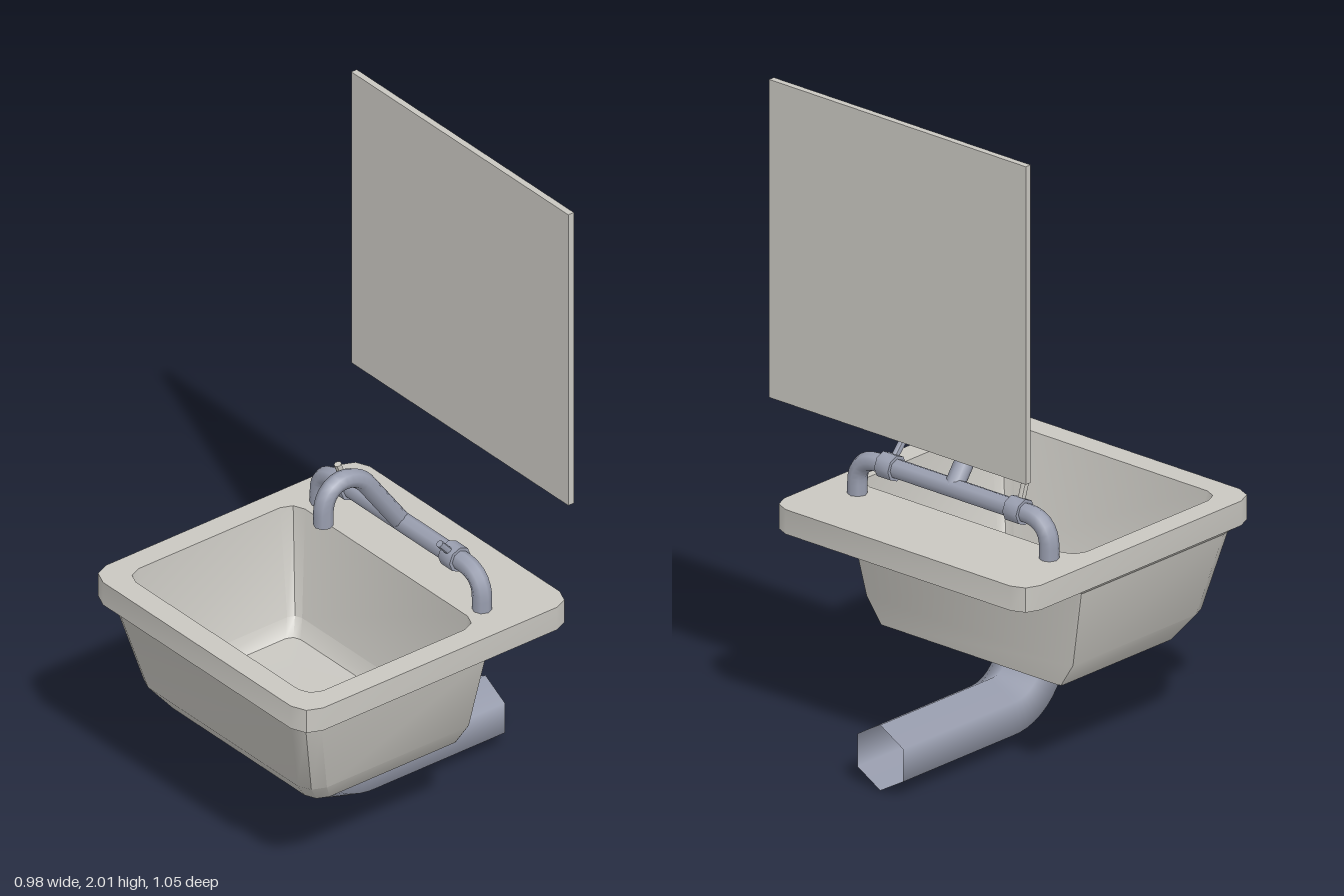
import * as THREE from 'three';
import { toCreasedNormals } from 'three/addons/utils/BufferGeometryUtils.js';

const ceramic = new THREE.MeshStandardMaterial({ name: 'ceramic', color: 0xc9c7c1, side: THREE.DoubleSide });
const metal = new THREE.MeshStandardMaterial({ name: 'metal', color: 0x9a9fb0, side: THREE.DoubleSide });

const V = (x, y, z) => new THREE.Vector3(x, y, z);

// Rectangle with softened corners, counter-clockwise from above.
function ring({ y, x, back, front, cb, cf }) {
  const k = 0.3;
  const right = [
    [x - cf, front], [x - k * cf, front - k * cf], [x, front - cf],
    [x, back + cb], [x - k * cb, back + k * cb], [x - cb, back],
  ];
  const left = right.map(([px, pz]) => [-px, pz]).reverse();
  return [...right, ...left].map(([px, pz]) => V(px, y, pz));
}

// Skin between successive rings, closed at both ends.
function loft(rings, startY, endY, creaseAngle) {
  const out = [];
  const tri = (...pts) => pts.forEach((p) => out.push(p.x, p.y, p.z));
  const centre = (r, y) => r.reduce((s, p) => s.add(p), V(0, 0, 0)).divideScalar(r.length).setY(y);
  const n = rings[0].length;
  const first = rings[0], last = rings[rings.length - 1];
  const c0 = centre(first, startY), c1 = centre(last, endY);
  for (let i = 0; i < n; i++) {
    const j = (i + 1) % n;
    tri(c0, first[j], first[i]);
    for (let r = 0; r < rings.length - 1; r++) {
      const a = rings[r], b = rings[r + 1];
      tri(a[i], a[j], b[j]);
      tri(a[i], b[j], b[i]);
    }
    tri(c1, last[i], last[j]);
  }
  const g = new THREE.BufferGeometry();
  g.setAttribute('position', new THREE.Float32BufferAttribute(out, 3));
  return toCreasedNormals(g, creaseAngle);
}

function path(...curves) {
  const p = new THREE.CurvePath();
  curves.forEach((c) => p.add(c));
  return p;
}
const line = (a, b) => new THREE.LineCurve3(a, b);
const bend = (a, b, c, d) => new THREE.CubicBezierCurve3(a, b, c, d);

export function createModel() {
  const group = new THREE.Group();
  const add = (name, geometry, material) => {
    const mesh = new THREE.Mesh(geometry, material);
    mesh.name = name;
    group.add(mesh);
    return mesh;
  };
  // Cylinder running between two points
  const rod = (name, a, b, radius, sides, material) => {
    const dir = b.clone().sub(a);
    const g = new THREE.CylinderGeometry(radius, radius, dir.length(), sides);
    const mesh = add(name, toCreasedNormals(g, 1.1), material);
    mesh.position.copy(a).add(b).multiplyScalar(0.5);
    mesh.quaternion.setFromUnitVectors(V(0, 1, 0), dir.normalize());
  };

  // Basin: outer bowl, overhanging rim, opening, inner bowl
  const sections = [
    { y: 0.285, x: 0.345, back: -0.145, front: 0.37, cb: 0.01, cf: 0.05 },
    { y: 0.36, x: 0.395, back: -0.15, front: 0.43, cb: 0.01, cf: 0.06 },
    { y: 0.6, x: 0.445, back: -0.17, front: 0.49, cb: 0.01, cf: 0.06 },
    { y: 0.63, x: 0.48, back: -0.2, front: 0.52, cb: 0.01, cf: 0.06 },
    { y: 0.63, x: 0.487, back: -0.45, front: 0.523, cb: 0.06, cf: 0.065 },
    { y: 0.705, x: 0.487, back: -0.45, front: 0.523, cb: 0.06, cf: 0.065 },
    { y: 0.705, x: 0.415, back: -0.165, front: 0.45, cb: 0.05, cf: 0.05 },
    { y: 0.37, x: 0.365, back: -0.13, front: 0.41, cb: 0.03, cf: 0.03 },
    { y: 0.325, x: 0.335, back: -0.1, front: 0.375, cb: 0.03, cf: 0.03 },
  ];
  add('basin', loft(sections.map(ring), 0.285, 0.31, 0.6), ceramic);

  // Wall mirror
  add('mirror', new THREE.BoxGeometry(0.975, 0.97, 0.02), ceramic).position.set(0.002, 1.515, -0.44);

  // Six-sided drain pipe, open at the wall end
  const drain = path(
    line(V(0, 0.3, 0.113), V(0, 0.245, 0.113)),
    bend(V(0, 0.245, 0.113), V(0, 0.16, 0.113), V(0, 0.087, 0.04), V(0, 0.087, -0.05)),
    line(V(0, 0.087, -0.05), V(0, 0.087, -0.525)),
  );
  add('drainPipe', new THREE.TubeGeometry(drain, 32, 0.1, 6), metal);

  // Bridge of the tap: two legs bending into a crossbar
  const cx = -0.005, z = -0.222, half = 0.364, barY = 0.82;
  const leg = (s) => [
    V(cx + s * half, 0.7, z), V(cx + s * half, 0.745, z),
    V(cx + s * half, 0.79, z), V(cx + s * 0.335, barY, z), V(cx + s * 0.28, barY, z),
  ];
  const l = leg(-1), r = leg(1);
  const bridge = path(
    line(l[0], l[1]), bend(l[1], l[2], l[3], l[4]), line(l[4], r[4]),
    bend(r[4], r[3], r[2], r[1]), line(r[1], r[0]),
  );
  add('tapBridge', new THREE.TubeGeometry(bridge, 48, 0.029, 8), metal);

  // Collars and handles
  for (const x of [-0.252, 0.235]) {
    rod('collar', V(x - 0.026, barY, z), V(x + 0.026, barY, z), 0.039, 8, metal);
  }
  rod('rightHandle', V(-0.252, 0.83, -0.215), V(-0.252, 0.9, -0.192), 0.011, 8, ceramic);
  rod('leftHandle', V(0.235, 0.83, -0.215), V(0.235, 0.882, -0.168), 0.011, 8, metal);

  // Gooseneck spout
  const spout = path(
    line(V(cx, 0.82, -0.222), V(cx, 0.995, -0.095)),
    bend(V(cx, 0.995, -0.095), V(cx, 1.06, -0.045), V(cx, 1.06, 0.06), V(cx, 0.955, 0.06)),
    line(V(cx, 0.955, 0.06), V(cx, 0.918, 0.06)),
  );
  add('spout', new THREE.TubeGeometry(spout, 24, 0.029, 8), metal);

  return group;
}
